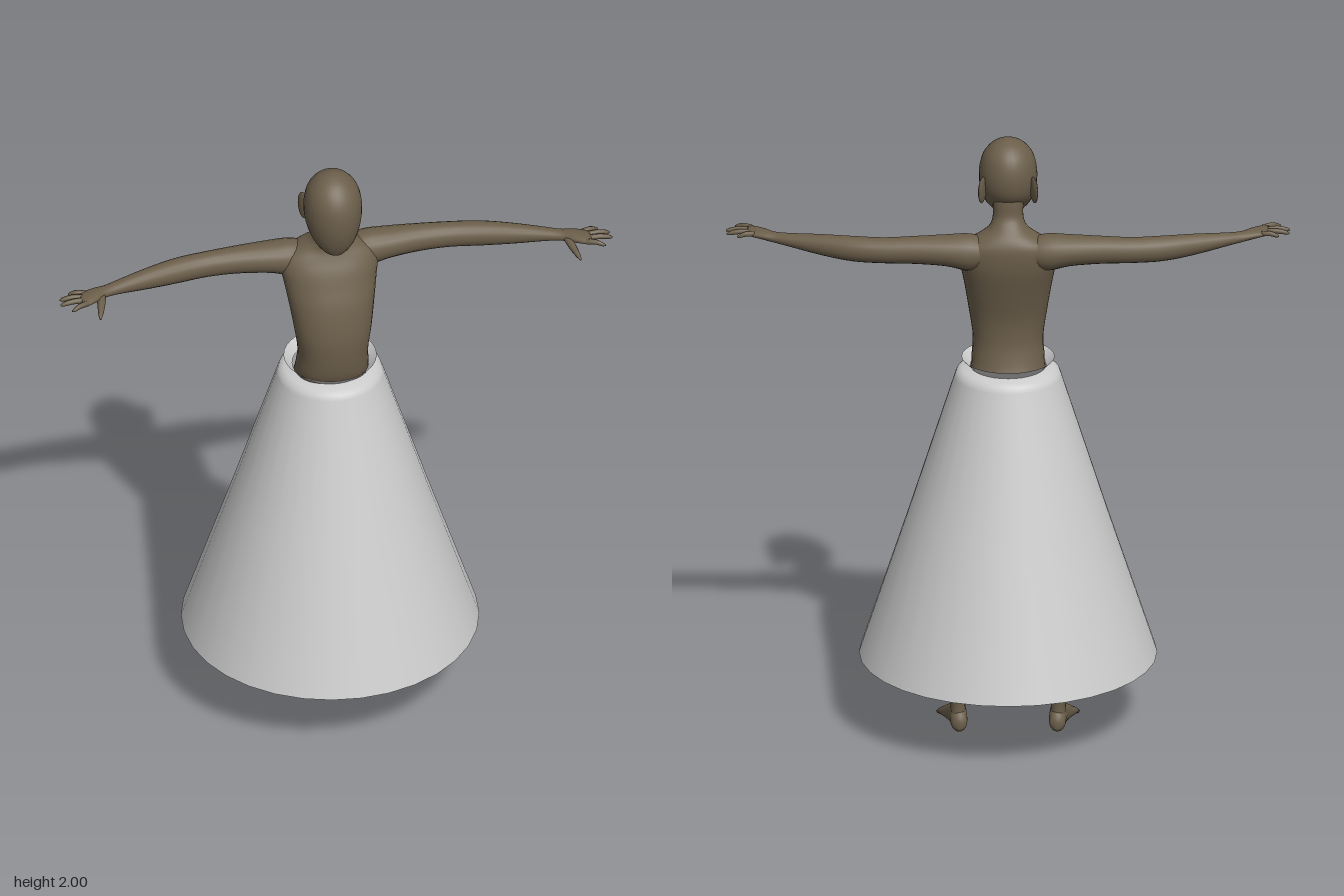
import * as THREE from 'three';

const skin = new THREE.MeshStandardMaterial({ color: 0x6b5e4a });
skin.name = 'skin';
const cloth = new THREE.MeshStandardMaterial({ color: 0xcccccc, side: THREE.DoubleSide });
cloth.name = 'cloth';

// Smooth closed loft. Sections are [x, y, z, ru, rv]; rings lie square to the axis.
// Ring radii (ru, rv): axis x -> (y, z), axis y -> (z, x), axis z -> (x, y).
function loft(name, axis, sections, sides = 20, steps = 4, squareness = 1) {
  const w = 'xyz'.indexOf(axis), u = (w + 1) % 3, v = (w + 2) % 3;
  const list = sections[0][w] > sections[sections.length - 1][w] ? [...sections].reverse() : sections;
  const path = new THREE.CatmullRomCurve3(list.map(s => new THREE.Vector3(s[0], s[1], s[2])), false, 'catmullrom');
  const size = new THREE.CatmullRomCurve3(list.map(s => new THREE.Vector3(s[3], s[4], 0)), false, 'catmullrom');
  const rings = (list.length - 1) * steps;
  const pos = [], idx = [];
  const bulge = c => Math.sign(c) * Math.pow(Math.abs(c), squareness);
  for (let i = 0; i <= rings; i++) {
    const c = path.getPoint(i / rings).toArray(), r = size.getPoint(i / rings);
    for (let j = 0; j < sides; j++) {
      const a = (j / sides) * Math.PI * 2, p = [...c];
      p[u] += Math.max(r.x, 0.001) * bulge(Math.cos(a));
      p[v] += Math.max(r.y, 0.001) * bulge(Math.sin(a));
      pos.push(...p);
    }
  }
  for (let i = 0; i < rings; i++) {
    for (let j = 0; j < sides; j++) {
      const k = (j + 1) % sides, a = i * sides + j, b = i * sides + k;
      idx.push(a, b, a + sides, b, b + sides, a + sides);
    }
  }
  // End caps
  const first = pos.length / 3, last = rings * sides;
  pos.push(...path.getPoint(0).toArray(), ...path.getPoint(1).toArray());
  for (let j = 0; j < sides; j++) {
    const k = (j + 1) % sides;
    idx.push(first, k, j, first + 1, last + j, last + k);
  }
  const g = new THREE.BufferGeometry();
  g.setAttribute('position', new THREE.Float32BufferAttribute(pos, 3));
  g.setIndex(idx);
  g.computeVertexNormals();
  const mesh = new THREE.Mesh(g, skin);
  mesh.name = name;
  return mesh;
}

// Upright sections from [y, halfWidth, frontZ, backZ]
const upright = rows => rows.map(([y, hw, f, b]) => [0, y, (f + b) / 2, (f - b) / 2, hw]);

function lathe(name, profile) {
  const mesh = new THREE.Mesh(
    new THREE.LatheGeometry(profile.map(p => new THREE.Vector2(...p)), 32), cloth);
  mesh.name = name;
  return mesh;
}

function buildArm(s) {
  const arm = new THREE.Group();
  arm.name = s > 0 ? 'leftArm' : 'rightArm';
  const add = (name, axis, rows, sides, steps) =>
    arm.add(loft(name, axis, rows.map(([x, ...r]) => [s * x, ...r]), sides, steps));
  add('armAndPalm', 'x', [
    [0.05, 1.64, -0.045, 0.035, 0.04], [0.12, 1.636, -0.043, 0.06, 0.058],
    [0.2, 1.643, -0.045, 0.051, 0.055], [0.3, 1.645, -0.047, 0.045, 0.045],
    [0.4, 1.643, -0.045, 0.042, 0.04], [0.5, 1.643, -0.03, 0.041, 0.04],
    [0.6, 1.646, -0.003, 0.034, 0.034], [0.7, 1.65, 0.028, 0.022, 0.026],
    [0.75, 1.652, 0.047, 0.017, 0.024], [0.785, 1.656, 0.065, 0.016, 0.033],
    [0.82, 1.658, 0.082, 0.013, 0.038], [0.838, 1.658, 0.088, 0.009, 0.034],
  ]);
  // Fingers: [baseX, baseZ, tipX, tipZ]
  const fingers = [[0.815, 0.055, 0.872, 0.043], [0.825, 0.073, 0.905, 0.069],
    [0.825, 0.092, 0.908, 0.098], [0.818, 0.11, 0.878, 0.138]];
  for (const [x0, z0, x1, z1] of fingers) {
    add('finger', 'x', [
      [x0, 1.659, z0, 0.009, 0.01], [(x0 + x1) / 2, 1.662, (z0 + z1) / 2, 0.009, 0.009],
      [x1 - 0.01, 1.657, z1 + (z0 - z1) * 0.15, 0.007, 0.007], [x1, 1.655, z1, 0.002, 0.002],
    ], 8, 2);
  }
  add('thumb', 'z', [
    [0.768, 1.65, 0.07, 0.016, 0.013], [0.775, 1.642, 0.105, 0.013, 0.012],
    [0.784, 1.634, 0.14, 0.009, 0.009], [0.79, 1.628, 0.163, 0.003, 0.003],
  ], 8, 3);
  return arm;
}

function buildLeg(s) {
  const leg = new THREE.Group();
  leg.name = s > 0 ? 'leftLeg' : 'rightLeg';
  const add = (name, axis, rows, sides, steps) =>
    leg.add(loft(name, axis, rows.map(([x, ...r]) => [s * x, ...r]), sides, steps));
  add('shin', 'y', [
    [0.16, 0.035, -0.092, 0.028, 0.024], [0.162, 0.1, -0.088, 0.027, 0.024],
    [0.163, 0.23, -0.095, 0.038, 0.028], [0.152, 0.42, -0.085, 0.052, 0.044],
    [0.138, 0.6, -0.045, 0.052, 0.048], [0.112, 0.85, -0.01, 0.075, 0.068],
    [0.08, 1.1, 0, 0.09, 0.075],
  ]);
  add('foot', 'z', [
    [0.157, 0.03, -0.13, 0.01, 0.014], [0.158, 0.036, -0.115, 0.026, 0.033],
    [0.162, 0.046, -0.07, 0.029, 0.045], [0.172, 0.034, -0.02, 0.036, 0.033],
    [0.181, 0.02, 0.025, 0.045, 0.02], [0.184, 0.014, 0.05, 0.042, 0.012],
  ]);
  for (let i = 0; i < 5; i++) {
    const x = 0.15 + i * 0.018, r = i === 0 ? 0.013 : 0.009, tip = 0.086 - i * 0.006 - (i > 2 ? 0.006 : 0);
    add('toe', 'z', [
      [x - 0.002, 0.014, 0.035, r, r * 0.9], [x, 0.012, tip - 0.015, r, r * 0.9],
      [x, 0.01, tip, r * 0.4, r * 0.4],
    ], 8, 3);
  }
  return leg;
}

export function createModel() {
  const model = new THREE.Group();
  model.name = 'figureInSkirt';

  // Hips, waist, chest, shoulders and neck in one sweep
  model.add(loft('torso', 'y', upright([
    [1.0, 0.12, 0.09, -0.1], [1.1, 0.15, 0.115, -0.125], [1.21, 0.122, 0.115, -0.085],
    [1.26, 0.117, 0.13, -0.068], [1.32, 0.114, 0.138, -0.056], [1.4, 0.125, 0.138, -0.058],
    [1.5, 0.14, 0.118, -0.082], [1.57, 0.152, 0.09, -0.1], [1.62, 0.16, 0.068, -0.106],
    [1.66, 0.15, 0.045, -0.104], [1.69, 0.1, 0.032, -0.092], [1.715, 0.062, 0.034, -0.072],
    [1.75, 0.049, 0.042, -0.048], [1.8, 0.05, 0.05, -0.043], [1.85, 0.045, 0.05, -0.035],
  ]), 32, 4, 0.9));

  // Featureless head tapering to the chin
  model.add(loft('head', 'y', upright([
    [1.718, 0.012, 0.098, 0.07], [1.726, 0.032, 0.11, 0.05], [1.75, 0.055, 0.124, 0.025],
    [1.78, 0.074, 0.136, -0.015], [1.82, 0.088, 0.145, -0.052], [1.865, 0.094, 0.147, -0.065],
    [1.91, 0.091, 0.14, -0.062], [1.95, 0.078, 0.12, -0.047], [1.98, 0.053, 0.09, -0.02],
    [1.995, 0.025, 0.06, 0.01], [2.0, 0.003, 0.038, 0.032],
  ]), 28, 4));

  for (const s of [1, -1]) {
    const ear = new THREE.Mesh(new THREE.SphereGeometry(1, 14, 10), skin);
    ear.name = s > 0 ? 'leftEar' : 'rightEar';
    ear.scale.set(0.008, 0.047, 0.027);
    ear.position.set(s * 0.083, 1.843, -0.025);
    ear.rotation.set(-0.15, -s * 0.46, 0);
    model.add(ear, buildArm(s), buildLeg(s));
  }

  // Open conical skirt with a rounded top edge and a flared waistband
  model.add(lathe('skirt', [[0.48, 0.235], [0.322, 0.72], [0.172, 1.195]]));
  model.add(lathe('skirtTop', [[0.172, 1.195], [0.166, 1.212], [0.15, 1.222], [0.122, 1.228]]));
  model.add(lathe('waistband', [[0.122, 1.228], [0.128, 1.236], [0.15, 1.258]]));
  return model;
}
